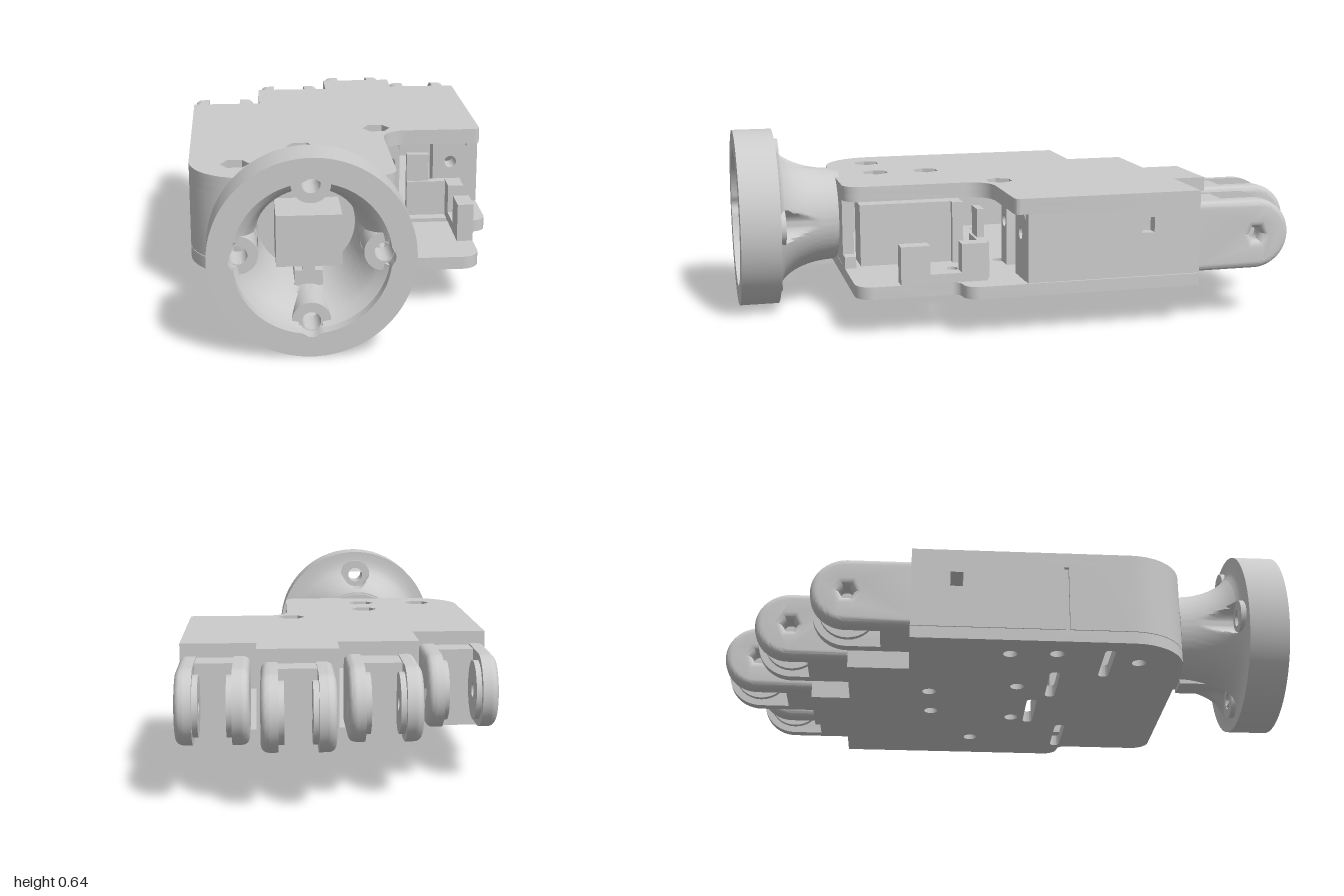
import * as THREE from 'three';
import { toCreasedNormals } from 'three/addons/utils/BufferGeometryUtils.js';

const mat = new THREE.MeshStandardMaterial({ color: 0xcccccc });
const open = new THREE.MeshStandardMaterial({ color: 0xcccccc, side: THREE.DoubleSide });

function add(parent, name, geo, material = mat) {
  const mesh = new THREE.Mesh(geo, material);
  mesh.name = name;
  parent.add(mesh);
  return mesh;
}

// Box given by its limits on each axis
function box(parent, name, x0, x1, y0, y1, z0, z1) {
  const geo = new THREE.BoxGeometry(x1 - x0, y1 - y0, z1 - z0);
  return add(parent, name, geo.translate((x0 + x1) / 2, (y0 + y1) / 2, (z0 + z1) / 2));
}

// Closed outline from corners [x, z, radius]
function outline(corners) {
  const s = new THREE.Shape();
  const n = corners.length;
  corners.forEach(([x, z, r = 0], i) => {
    const toward = ([px, pz], d) => {
      const l = Math.hypot(px - x, pz - z);
      return [x + (px - x) * d / l, -(z + (pz - z) * d / l)];
    };
    const prev = corners[(i + n - 1) % n], next = corners[(i + 1) % n];
    const a = toward(prev, r), b = toward(next, r);
    if (i === 0) s.moveTo(...a); else s.lineTo(...a);
    if (r) s.bezierCurveTo(...toward(prev, r * 0.448), ...toward(next, r * 0.448), ...b);
  });
  s.closePath();
  return s;
}

function polygonHole(x, y, r, sides) {
  const pts = [];
  for (let i = 0; i < sides; i++) {
    const a = i / sides * Math.PI * 2;
    pts.push(new THREE.Vector2(x + r * Math.cos(a), y + r * Math.sin(a)));
  }
  return new THREE.Path(pts);
}

// Horizontal slab between y0 and y1
function slab(parent, name, shape, y0, y1, holes = []) {
  shape.holes = holes;
  const geo = new THREE.ExtrudeGeometry(shape, { depth: y1 - y0, bevelEnabled: false, curveSegments: 10 });
  return add(parent, name, toCreasedNormals(geo.rotateX(-Math.PI / 2).translate(0, y0, 0), 0.6));
}

// Side wall along z with a small square window
function sideWall(parent, name, x0, x1, z0, z1, windowZ) {
  const s = outline([[-z1, -0.18], [-z0, -0.18], [-z0, -0.43], [-z1, -0.43]]);
  s.holes = [polygonHole(-windowZ, 0.36, 0.035, 4)];
  s.holes[0] = new THREE.Path([[-1, -1], [-1, 1], [1, 1], [1, -1]]
    .map(([a, b]) => new THREE.Vector2(-windowZ + a * 0.022, 0.36 + b * 0.027)));
  const geo = new THREE.ExtrudeGeometry(s, { depth: x1 - x0, bevelEnabled: false });
  add(parent, name, geo.rotateY(Math.PI / 2).translate(x0, 0, 0));
}

// Forked knuckle: base block, two rounded cheeks, inner pivot rings
function knuckle(name, x0, x1, baseZ, barZ, tipZ) {
  const g = new THREE.Group();
  g.name = name;
  const R = 0.124, L = baseZ - tipZ, c = L - R, y = 0.305;
  const cheek = (sides, r) => {
    const s = new THREE.Shape();
    s.moveTo(-0.03, -R).lineTo(c, -R).absarc(c, 0, R, -Math.PI / 2, Math.PI / 2, false).lineTo(-0.03, R).closePath();
    s.holes = [polygonHole(c, 0, r, sides)];
    return s;
  };
  const ring = new THREE.Shape().absarc(c, 0, 0.1, 0, Math.PI * 2);
  ring.holes = [polygonHole(c, 0, 0.025, 16)];
  const piece = (n, shape, w0, opts) => {
    const geo = new THREE.ExtrudeGeometry(shape, { curveSegments: 16, bevelEnabled: false, ...opts });
    add(g, n, toCreasedNormals(geo.translate(0, 0, w0).rotateY(Math.PI / 2).translate(0, y, baseZ), 0.6));
  };
  const round = { depth: 0.005, bevelEnabled: true, bevelThickness: 0.025, bevelSize: 0.025, bevelOffset: -0.025, bevelSegments: 5 };
  piece('cheekRight', cheek(6, 0.025), x0 + 0.025, round);
  piece('cheekLeft', cheek(6, 0.025), x1 - 0.03, round);
  piece('cheekInnerRight', cheek(16, 0.025), x0 + 0.028, { depth: 0.027 });
  piece('cheekInnerLeft', cheek(16, 0.025), x1 - 0.055, { depth: 0.027 });
  piece('pivotRingRight', ring, x0 + 0.055, { depth: 0.018 });
  piece('pivotRingLeft', ring, x1 - 0.073, { depth: 0.018 });
  box(g, 'knuckleBase', x0 + 0.03, x1 - 0.03, y - R, y + R - 0.005, barZ, baseZ + 0.03);
  return g;
}

// Flared wrist flange with four screw pockets
function wristFlange() {
  const g = new THREE.Group();
  g.name = 'wristFlange';
  const D = 0.225, floorZ = 0.84;
  const outer = z => 0.29 - 0.12 * Math.sqrt(Math.max(0, 1 - ((z - 0.65) / 0.21) ** 2));
  const inner = z => 0.245 - 0.085 * Math.sqrt(Math.max(0, 1 - ((z - 0.65) / 0.31) ** 2));
  const run = (f, a, b, n) => Array.from({ length: n + 1 }, (_, i) => {
    const z = a + (b - a) * i / n;
    return new THREE.Vector2(f(z), z);
  });
  const v = (r, z) => new THREE.Vector2(r, z);
  const front = [...run(inner, floorZ, 0.96, 6), v(0.245, 1), v(0.322, 1), v(0.322, 0.86), ...run(outer, 0.86, floorZ, 4)];
  const back = [...run(outer, floorZ, 0.65, 12), ...run(inner, 0.65, floorZ, 10)];
  const lathe = (name, profile, rule) => {
    const geo = new THREE.LatheGeometry(profile, 144).rotateX(Math.PI / 2);
    const p = geo.attributes.position, q = Math.PI / 2;
    for (let i = 0; i < p.count; i++) {
      const x = p.getX(i), y = p.getY(i), r = Math.hypot(x, y), a = Math.atan2(y, x);
      const phi = a - Math.round(a / q) * q;
      const k = rule(r, i % profile.length, phi) / r;
      p.setXY(i, x * k, y * k);
    }
    add(g, name, toCreasedNormals(geo, 0.6), open);
  };
  const hit = (phi, radius, sign) => {
    const d = radius ** 2 - (D * Math.sin(phi)) ** 2;
    return d > 0 ? D * Math.cos(phi) + sign * Math.sqrt(d) : null;
  };
  lathe('flangeRim', front, (r, j, phi) => j < 8 ? Math.max(r, hit(phi, 0.032, 1) ?? r) : r);
  lathe('flangeFlare', back, (r, j, phi) => Math.min(r, hit(phi, j < 13 ? 0.05 : 0.065, -1) ?? r));
  for (let i = 0; i < 4; i++) {
    const a = i * Math.PI / 2;
    const s = new THREE.Shape().absarc(0, 0, 0.062, 0, Math.PI * 2);
    s.holes = [polygonHole(0, 0, 0.03, 20)];
    const geo = new THREE.ExtrudeGeometry(s, { depth: 0.11, bevelEnabled: false, curveSegments: 16 });
    add(g, 'screwBoss', toCreasedNormals(geo, 0.6)).position.set(D * Math.cos(a), D * Math.sin(a), floorZ);
  }
  const floor = new THREE.CylinderGeometry(0.165, 0.165, 0.04, 48).rotateX(Math.PI / 2);
  add(g, 'flangeFloor', floor.translate(0, 0, 0.645));
  box(g, 'wristBlock', -0.105, 0.105, -0.085, 0.085, 0.64, 0.84);
  box(g, 'blockStem', -0.02, 0.02, -0.12, -0.08, 0.66, 0.8);
  box(g, 'stemFoot', -0.045, 0.045, -0.18, -0.115, 0.66, 0.8);
  g.position.set(-0.145, 0.325, 0);
  return g;
}

export function createModel() {
  const model = new THREE.Group();
  model.name = 'handPalm';

  // Stepped finger edge shared by both plates
  const steps = [[0.525, -0.55], [0.27, -0.55], [0.27, -0.67], [0, -0.67], [0, -0.53],
    [-0.275, -0.53], [-0.275, -0.315], [-0.53, -0.315], [-0.53, 0.64, 0.2]];
  const topShape = () => outline([...steps, [0.16, 0.64, 0.06], [0.16, 0.115, 0.09], [0.525, 0.115, 0.02]]);
  const bottomShape = outline([...steps, [0.44, 0.64, 0.06], [0.44, 0.285, 0.03], [0.525, 0.285, 0.05]]);

  // Top plate: hexagonal nut pockets above round screw holes
  const nuts = [[0.145, 0.075], [-0.145, 0.29], [-0.145, 0.48], [-0.375, 0.48]];
  slab(model, 'topPlateUpper', topShape(), 0.445, 0.472, nuts.map(([x, z]) => polygonHole(x, -z, 0.05, 6)));
  slab(model, 'topPlateLower', topShape(), 0.418, 0.445, nuts.map(([x, z]) => polygonHole(x, -z, 0.025, 16)));

  // Bottom plate: screw holes and tendon slots
  const screws = [[0.36, -0.07], [0.1, -0.23], [0.145, 0.075], [-0.145, 0.075], [-0.08, -0.24],
    [-0.42, 0.03], [-0.375, 0.48], [-0.43, 0.19]];
  const slots = [[0.32, 0.27], [0.08, 0.14], [-0.17, 0.2], [-0.36, 0.37]];
  const slotHole = ([x, z]) => new THREE.Path()
    .absarc(x + 0.09, -z, 0.018, -Math.PI / 2, Math.PI / 2, false)
    .absarc(x - 0.09, -z, 0.018, Math.PI / 2, Math.PI * 1.5, false);
  slab(model, 'bottomPlate', bottomShape, 0.135, 0.178,
    [...screws.map(([x, z]) => polygonHole(x, -z, 0.025, 16)), ...slots.map(slotHole)]);

  // Palm walls
  sideWall(model, 'rightWall', -0.53, -0.48, -0.315, 0.21, -0.16);
  sideWall(model, 'leftWall', 0.485, 0.525, -0.55, 0.07, -0.36);
  slab(model, 'cornerWall', outline([[-0.53, 0.225], [-0.53, 0.64, 0.2], [0.1, 0.64], [0.1, 0.6],
    [-0.48, 0.6, 0.16], [-0.48, 0.225]]), 0.18, 0.42);
  box(model, 'wallGrooveBack', -0.515, -0.49, 0.18, 0.42, 0.2, 0.24);
  box(model, 'stepWall', -0.275, -0.25, 0.175, 0.42, -0.53, -0.29);
  box(model, 'stepWall', 0, 0.025, 0.175, 0.42, -0.67, -0.5);
  box(model, 'stepWall', 0.245, 0.27, 0.175, 0.42, -0.67, -0.52);

  // Knuckles: x limits, base, bar and tip
  [['littleKnuckle', -0.53, -0.295, -0.315, -0.415, -0.655],
    ['ringKnuckle', -0.26, -0.022, -0.53, -0.675, -0.865],
    ['middleKnuckle', 0.02, 0.255, -0.67, -0.77, -1],
    ['indexKnuckle', 0.29, 0.525, -0.55, -0.66, -0.89]].forEach(k => model.add(knuckle(...k)));

  // Actuator block beside the thumb opening
  box(model, 'actuator', 0, 0.125, 0.175, 0.4, 0.21, 0.58);
  box(model, 'actuatorTab', 0.125, 0.15, 0.175, 0.4, 0.21, 0.25);
  box(model, 'actuatorTab', 0.06, 0.15, 0.175, 0.22, 0.6, 0.64);

  // Thumb bracket
  box(model, 'thumbPost', 0.385, 0.44, 0.175, 0.31, 0.39, 0.49);
  box(model, 'thumbPost', 0.385, 0.44, 0.175, 0.31, 0.19, 0.28);
  box(model, 'thumbPostBridge', 0.385, 0.44, 0.175, 0.21, 0.28, 0.39);
  box(model, 'thumbBracket', 0.245, 0.4, 0.175, 0.305, 0.175, 0.21);
  box(model, 'thumbBracketArm', 0.245, 0.325, 0.3, 0.405, 0.175, 0.2);

  // Cable guides behind the thumb bracket
  for (const [x0, x1] of [[0.16, 0.235], [0.36, 0.49]]) {
    const s = outline([[x0, -0.175], [x1, -0.175], [x1, -0.42, 0.05], [x0, -0.42]]);
    s.holes = [polygonHole((x0 + x1) / 2, 0.335, 0.022, 16)];
    const geo = new THREE.ExtrudeGeometry(s, { depth: 0.08, bevelEnabled: false });
    add(model, 'cableGuide', toCreasedNormals(geo, 0.6)).position.z = -0.01;
  }

  model.add(wristFlange());
  return model;
}
